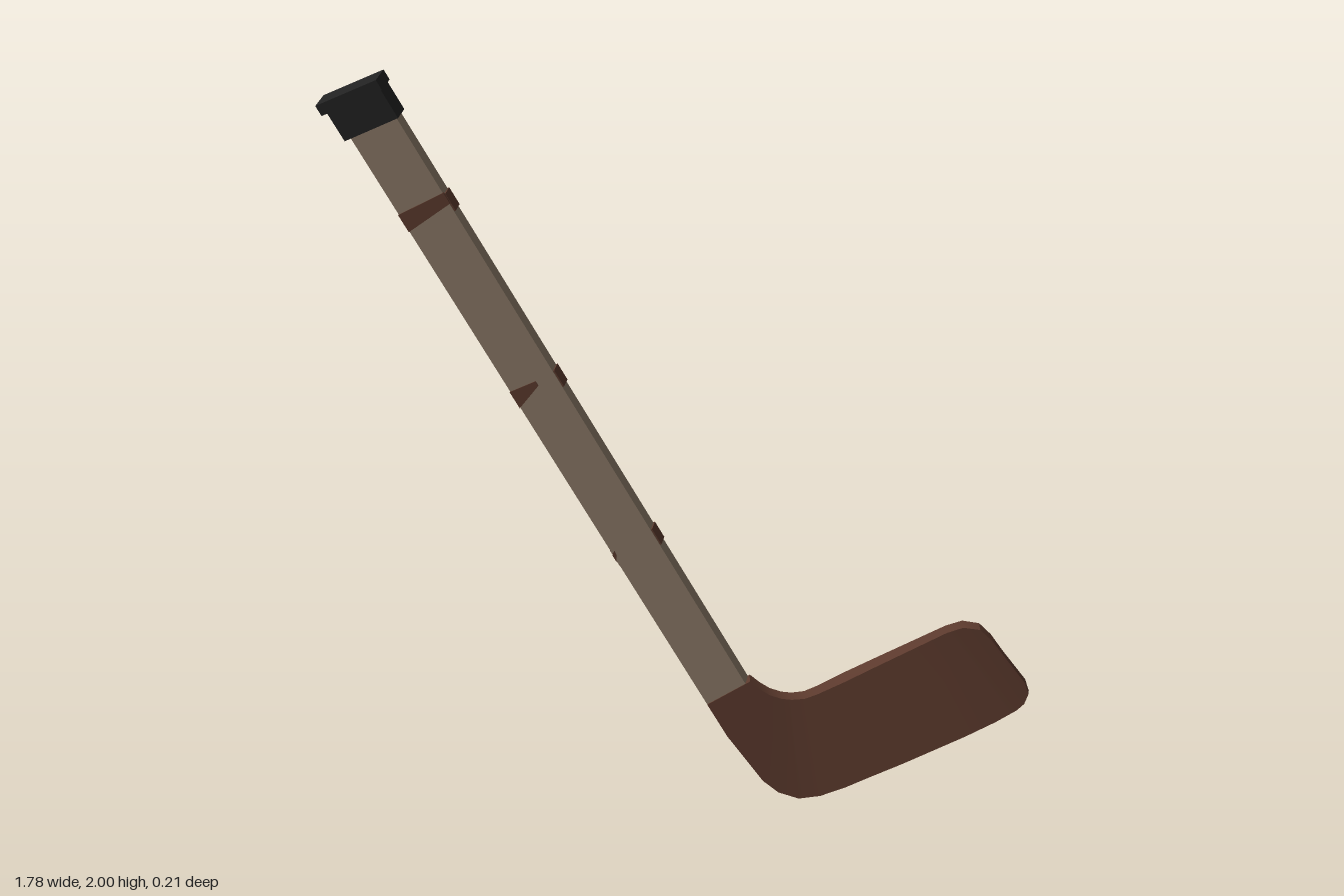
import * as THREE from 'three';
import { toCreasedNormals } from 'three/addons/utils/BufferGeometryUtils.js';

const wood = new THREE.MeshStandardMaterial({ color: 0x8c7a68 });
wood.name = 'pale wood';
const brown = new THREE.MeshStandardMaterial({ color: 0x5c3a2d });
brown.name = 'brown tape';
const black = new THREE.MeshStandardMaterial({ color: 0x222222 });
black.name = 'black rubber';

// Skins a row of four-cornered sections and closes both ends.
function loft(name, sections, material) {
  const pos = [];
  const quad = (a, b, c, d) => pos.push(...a, ...b, ...c, ...a, ...c, ...d);
  for (let i = 0; i + 1 < sections.length; i++) {
    const s = sections[i], n = sections[i + 1];
    for (let j = 0; j < 4; j++) {
      const k = (j + 1) % 4;
      quad(s[j], s[k], n[k], n[j]);
    }
  }
  const [a, b, c, d] = sections[0];
  quad(a, d, c, b);
  quad(...sections[sections.length - 1]);
  const geo = new THREE.BufferGeometry();
  geo.setAttribute('position', new THREE.Float32BufferAttribute(pos, 3));
  geo.computeVertexNormals();
  const mesh = new THREE.Mesh(toCreasedNormals(geo, 0.5), material);
  mesh.name = name;
  return mesh;
}

const mix = THREE.MathUtils.lerp;

// Point on the shaft: u across, t along, s from front (0) to back (1).
function shaftPoint(u, t, s) {
  const x = mix(mix(0.05, -0.812, t), mix(0.15, -0.701, t), u);
  const y = mix(mix(0.294, 1.86, t), mix(0.35, 1.907, t), u);
  return [x + 0.012 * s, y + 0.004 * s, -0.018 + 0.063 * x + (0.5 - s) * 0.036];
}

// Block following the shaft; t ranges are given for the left and right edges.
function slab(name, material, [u0, u1], [s0, s1], tLeft, tRight = tLeft) {
  const section = (i) => [
    shaftPoint(u0, tLeft[i], s0), shaftPoint(u1, tRight[i], s0),
    shaftPoint(u1, tRight[i], s1), shaftPoint(u0, tLeft[i], s1),
  ];
  return loft(name, [section(0), section(1)], material);
}

// Piecewise linear curve through [x, value] knots.
function curve(knots, x) {
  for (let i = 1; i < knots.length; i++) {
    const [x0, v0] = knots[i - 1], [x1, v1] = knots[i];
    if (x <= x1 || i === knots.length - 1) {
      return mix(v0, v1, THREE.MathUtils.clamp((x - x0) / (x1 - x0), 0, 1));
    }
  }
}

export function createModel() {
  const group = new THREE.Group();
  group.name = 'hockeyStick';

  group.add(slab('shaft', wood, [0, 1], [0, 1], [-0.01, 1.0]));

  // Tape bands wrap the sides and back; less and less reaches the front
  const bands = [[0.856, 1.02, 0.009], [0.557, 0.58, 0.004], [0.274, 0.07, 0.003]];
  for (const [t, reach, tip] of bands) {
    const h = 0.014;
    group.add(slab('tapeBand', brown, [-0.015, 1.03], [0.06, 1.07], [t - h, t + h]));
    const f = reach < 0.1 ? 0.006 : h;
    group.add(slab('tapeBandFront', brown, [-0.01, reach], [-0.06, 0.07],
      [t - f, t + f], [t + 0.008 - tip, t + 0.008 + tip]));
  }

  // End cap
  group.add(slab('capCollar', black, [-0.1, 1.06], [-0.25, 1.25], [0.995, 1.045]));
  group.add(slab('capFlange', black, [-0.2, 1.1], [-0.4, 1.4], [1.04, 1.056]));

  // Blade: stations from heel to toe, [lower x, lower y, upper x, upper y]
  const stations = [
    [0.05, 0.294, 0.161, 0.357], [0.103, 0.198, 0.188, 0.333],
    [0.198, 0.061, 0.214, 0.315], [0.24, 0.024, 0.245, 0.303],
    [0.294, 0.004, 0.272, 0.299], [0.35, 0.013, 0.305, 0.302],
    [0.415, 0.04, 0.336, 0.315], [0.48, 0.073, 0.405, 0.352],
    [0.563, 0.114, 0.49, 0.401], [0.722, 0.198, 0.62, 0.475],
    [0.8, 0.24, 0.664, 0.5], [0.854, 0.272, 0.706, 0.516],
    [0.873, 0.29, 0.749, 0.51], [0.883, 0.318, 0.78, 0.479],
    [0.872, 0.352, 0.81, 0.435],
  ];
  const front = [[0.05, 0.006], [0.28, 0.019], [0.76, 0.102], [0.89, 0.109]];
  const back = [[0.05, -0.034], [0.39, -0.016], [0.89, 0.09]];
  const at = (x, y, isBack) =>
    isBack ? [x + 0.006, y, curve(back, x)] : [x, y, curve(front, x)];
  group.add(loft('blade', stations.map(([lx, ly, ux, uy]) =>
    [at(ux, uy, false), at(lx, ly, false), at(lx, ly, true), at(ux, uy, true)]), brown));

  return group;
}
